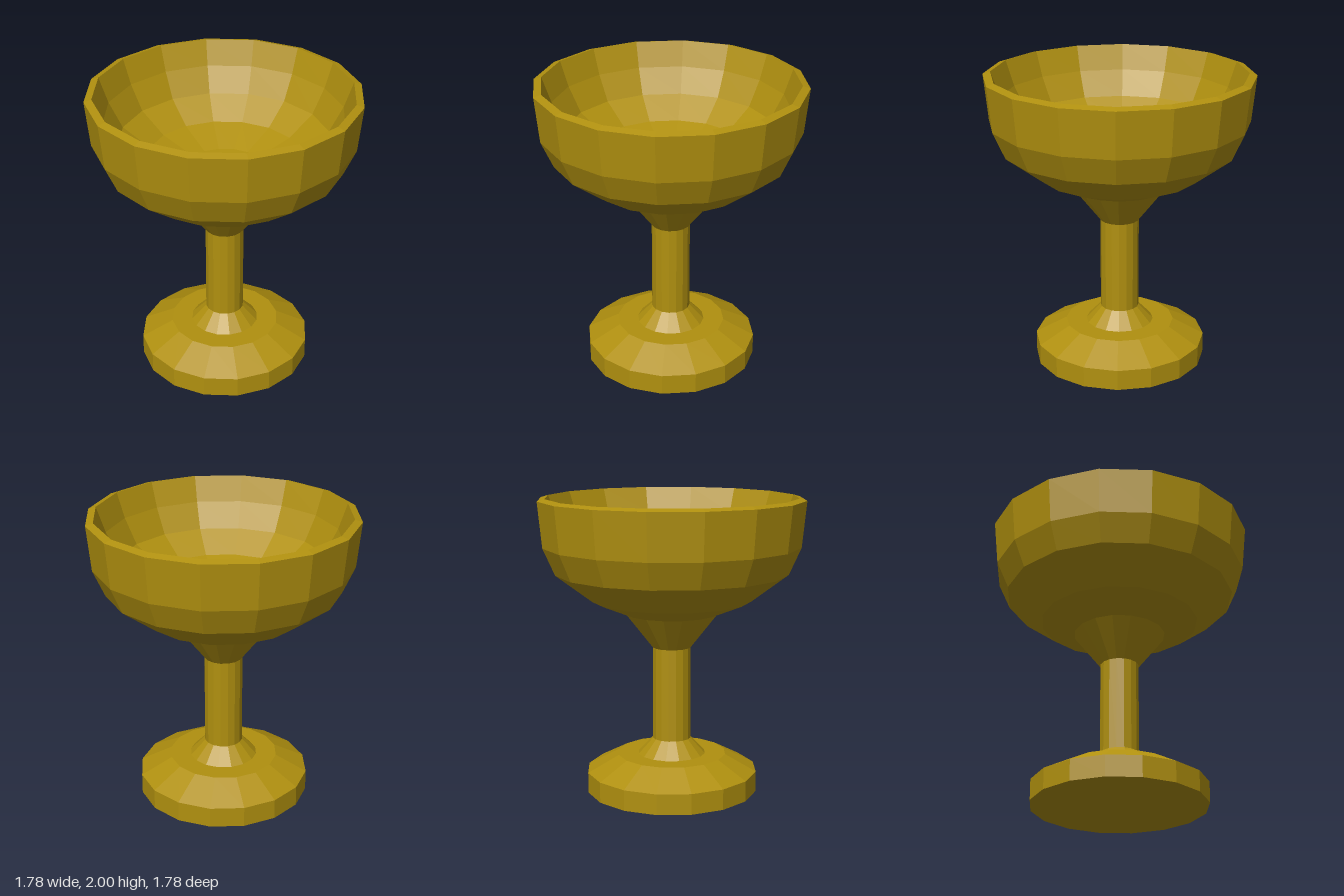
import * as THREE from 'three';

const SIDES = 16;

// Faceted turned part from [radius, height] pairs, listed bottom to top on the outside
function turned(name, profile, material) {
  const points = profile.map(([r, y]) => new THREE.Vector2(r, y));
  const mesh = new THREE.Mesh(new THREE.LatheGeometry(points, SIDES), material);
  mesh.name = name;
  return mesh;
}

export function createModel() {
  const gold = new THREE.MeshStandardMaterial({ color: 0xb0900f });
  gold.name = 'gold';
  gold.flatShading = true;

  const goblet = new THREE.Group();
  goblet.name = 'goblet';

  // Solid foot with a bevelled top
  goblet.add(turned('foot', [[0, 0], [0.582, 0], [0.582, 0.14], [0.37, 0.253], [0.23, 0.253]], gold));

  // Small cone joining the foot to the stem
  goblet.add(turned('collar', [[0.23, 0.253], [0.13, 0.36]], gold));

  goblet.add(turned('stem', [[0.13, 0.36], [0.13, 0.992]], gold));

  // Flare under the bowl
  goblet.add(turned('flare', [[0.13, 0.992], [0.31, 1.223]], gold));

  // Bowl: outer wall, rim, then the deep inner wall down to the centre
  goblet.add(turned('bowl', [
    [0.31, 1.223], [0.535, 1.315], [0.78, 1.5], [0.86, 1.68], [0.89, 1.985],
    [0.84, 2],
    [0.78, 1.83], [0.69, 1.66], [0.51, 1.53], [0.26, 1.45], [0, 1.42],
  ], gold));

  return goblet;
}
